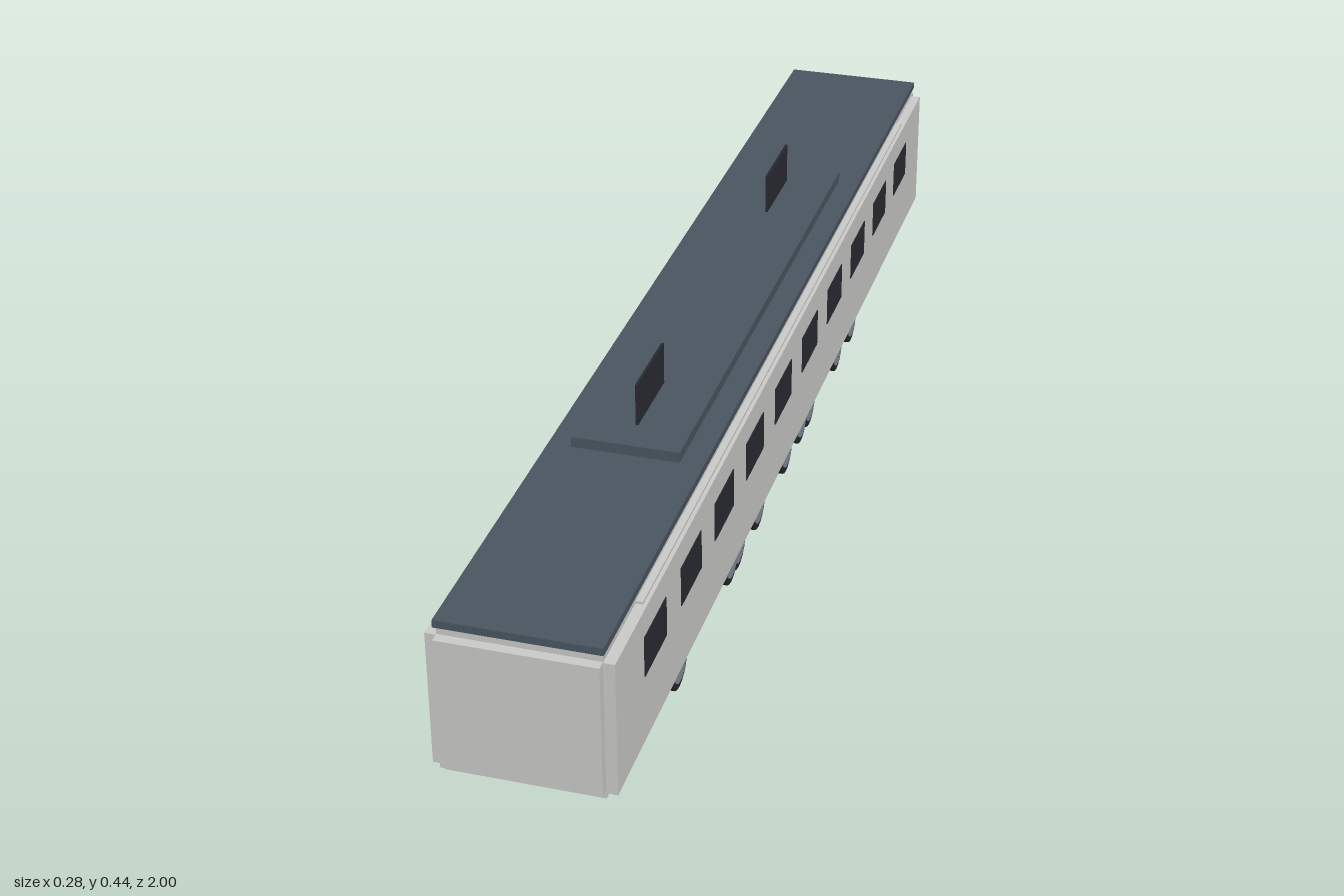
import * as THREE from 'three';

const material = (name, color) => {
  const m = new THREE.MeshStandardMaterial({ color });
  m.name = name;
  return m;
};

export function createModel() {
  const train = new THREE.Group();
  train.name = 'railCar';
  const shell = material('paleGrey', 0xcbcbca);
  const slate = material('slate', 0x4a5661);
  const glass = material('darkGlass', 0x292b33);
  const frame = material('blackFrame', 0x25252c);
  const hub = material('wheelSteel', 0x848c9b);
  const steel = material('blueSteel', 0x6b7a87);

  const add = (name, geometry, mat, x = 0, y = 0, z = 0) => {
    const mesh = new THREE.Mesh(geometry, mat);
    mesh.name = name;
    mesh.position.set(x, y, z);
    train.add(mesh);
    return mesh;
  };
  // box given by half width, bottom, top, and z range
  const slab = (name, mat, hw, y0, y1, z0, z1, x = 0) =>
    add(name, new THREE.BoxGeometry(hw * 2, y1 - y0, z1 - z0), mat, x, (y0 + y1) / 2, (z0 + z1) / 2);

  // body of interlocking panels with stepped edges
  slab('bodySides', shell, 0.136, 0.105, 0.325, -0.985, 0.985);
  slab('bodyCore', shell, 0.119, 0.095, 0.34, -0.984, 0.984);
  slab('bodyEnds', shell, 0.119, 0.11, 0.326, -1, 1);
  slab('upperRail', shell, 0.13, 0.11, 0.329, -0.84, 0.84);

  // roof
  slab('roof', slate, 0.122, 0.34, 0.352, -0.99, 0.99);
  slab('roofDeck', slate, 0.085, 0.352, 0.369, -0.51, 0.51);
  for (const z of [-0.382, 0.382]) slab('currentCollector', glass, 0.002, 0.369, 0.439, z - 0.068, z + 0.068);

  // ten windows on each side
  for (const side of [-1, 1]) {
    for (let i = 0; i < 10; i++) {
      const z = (i - 4.5) * 0.179;
      slab('window', glass, 0.002, 0.216, 0.282, z - 0.052, z + 0.052, side * 0.1355);
    }
  }

  // underbody
  slab('undersideStrip', slate, 0.11, 0.086, 0.096, -0.49, 0.49);
  slab('underbody', shell, 0.098, 0.072, 0.095, -0.6, 0.64);
  slab('equipmentBox', shell, 0.085, 0.04, 0.09, -0.44, 0.46);
  slab('bellyPlate', shell, 0.065, 0.029, 0.041, -0.45, 0.46);

  // end bogie frames
  slab('frontBogieFrame', frame, 0.102, 0.04, 0.075, 0.45, 0.8);
  slab('rearBogieFrame', frame, 0.102, 0.04, 0.075, -0.8, -0.45);

  const disc = (r, width) => new THREE.CylinderGeometry(r, r, width, 20).rotateZ(Math.PI / 2);
  const tyre = disc(0.042, 0.022), hubCap = disc(0.031, 0.004);
  const innerWheel = disc(0.047, 0.013), smallWheel = disc(0.036, 0.02);

  for (const side of [-1, 1]) {
    // outer wheels with pale hub faces
    for (const z of [0.59, 0.295, 0.25, 0.125, -0.06, -0.165, -0.225, -0.435, -0.55]) {
      add('tyre', tyre, frame, side * 0.095, 0.045, z);
      add('hub', hubCap, hub, side * 0.106, 0.045, z);
    }
    // steel wheels inside the bogies
    for (const z of [0.735, 0.53, 0.38, -0.36, -0.53, -0.73]) {
      add('innerWheel', innerWheel, steel, side * 0.071, 0.047, z);
    }
    // small inner rollers
    for (const z of [0.2, -0.2]) add('roller', smallWheel, frame, side * 0.052, 0.036, z);
  }
  // central guide rollers
  for (const z of [0.18, -0.1]) add('guideRoller', disc(0.02, 0.012), frame, 0, 0.02, z);
  return train;
}
